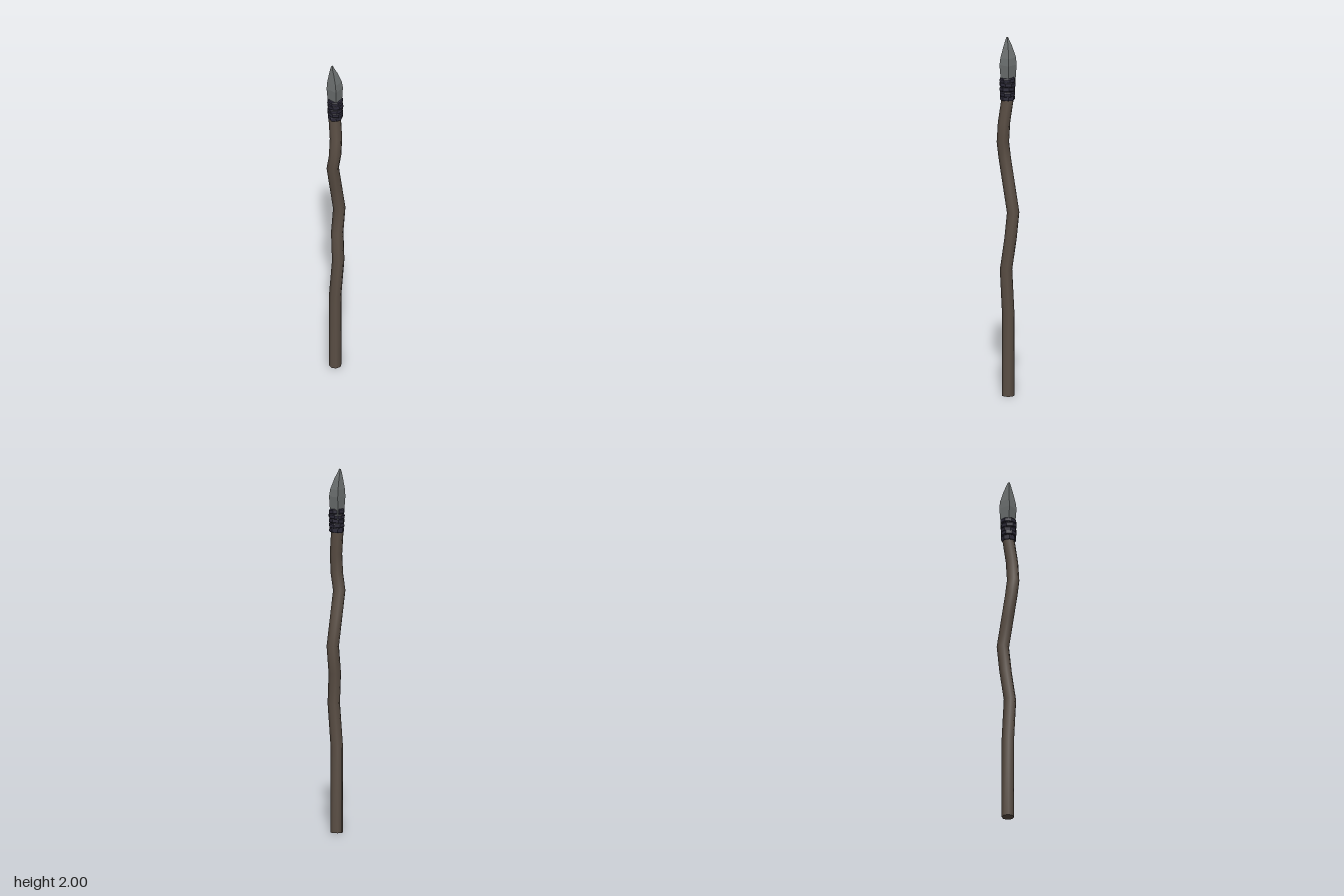
import * as THREE from 'three';

// Skin a stack of cross-sections, each a loop of [x, y, z] points (counter-clockwise seen from above turned to face out)
function loft(rings, flat) {
  const n = rings[0].length, pos = [], idx = [];
  rings.forEach(r => r.forEach(p => pos.push(...p)));
  for (let i = 0; i < rings.length - 1; i++) {
    for (let j = 0; j < n; j++) {
      const a = i * n + j, b = i * n + (j + 1) % n;
      idx.push(a, b, b + n, a, b + n, a + n);
    }
  }
  // end caps with their own vertices so the rims stay sharp
  [rings[0], rings[rings.length - 1]].forEach((r, end) => {
    const base = pos.length / 3;
    r.forEach(p => pos.push(...p));
    for (let j = 1; j < n - 1; j++) {
      if (end) idx.push(base, base + j, base + j + 1);
      else idx.push(base, base + j + 1, base + j);
    }
  });
  let g = new THREE.BufferGeometry();
  g.setAttribute('position', new THREE.Float32BufferAttribute(pos, 3));
  g.setIndex(idx);
  if (flat) g = g.toNonIndexed();
  g.computeVertexNormals();
  return g;
}

// Level polygon running from +z towards +x
function ring(x, y, z, r, sides) {
  return Array.from({ length: sides }, (_, j) => {
    const a = j / sides * Math.PI * 2;
    return [x + Math.sin(a) * r, y, z + Math.cos(a) * r];
  });
}

export function createModel() {
  const group = new THREE.Group();
  const wood = new THREE.MeshStandardMaterial({ name: 'brown wood', color: 0x5b4f45 });
  const stone = new THREE.MeshStandardMaterial({ name: 'grey stone', color: 0x6e7272 });
  const cord = new THREE.MeshStandardMaterial({ name: 'dark cord', color: 0x2b2937 });
  const add = (name, geometry, material) => {
    const m = new THREE.Mesh(geometry, material);
    m.name = name;
    group.add(m);
    return m;
  };

  // Crooked eight-sided shaft: x, y, z of each bend
  const bends = [
    [-0.009, 0, 0.006], [-0.009, 0.47, 0.006], [0.011, 0.71, 0.005],
    [-0.008, 0.88, -0.011], [-0.008, 1.03, -0.029], [-0.008, 1.19, 0.002],
    [-0.008, 1.33, 0.029], [0.008, 1.42, 0.029], [0.008, 1.53, 0.021],
    [-0.008, 1.65, 0.011], [-0.008, 1.76, 0.008],
  ];
  add('shaft', loft(bends.map(([x, y, z]) => ring(x, y, z, 0.034, 8)), false), wood);

  // Chipped four-sided spearhead: left, right, back, front limits at each height
  const cuts = [
    [1.70, -0.034, 0.018, -0.02, 0.03],
    [1.79, -0.039, 0.021, -0.024, 0.036],
    [1.85, -0.041, 0.023, -0.028, 0.041],
    [1.89, -0.04, 0.018, -0.024, 0.038],
    [1.95, -0.032, 0.001, -0.005, 0.031],
    [1.985, -0.026, -0.012, 0.011, 0.027],
    [2.0, -0.022, -0.015, 0.016, 0.024],
  ];
  add('spearhead', loft(cuts.map(([y, l, r, b, f]) => [
    [l, y, f], [r, y, f], [r, y, b + (r - l) * 0.1], [l, y, b],
  ]), true), stone).material.flatShading = true;

  // Cord bands lashing the head on: height, radius, tilt about x, tilt about z, twist
  const bands = [
    [1.667, 0.041, 0.03, 0.05, 0.0],
    [1.692, 0.044, -0.05, -0.06, 0.3],
    [1.717, 0.043, 0.06, 0.05, 0.1],
    [1.742, 0.045, -0.05, 0.08, 0.4],
    [1.767, 0.044, 0.04, -0.08, 0.2],
  ];
  const wrap = new THREE.Group();
  wrap.name = 'cordWrap';
  bands.forEach(([y, r, tiltX, tiltZ, twist]) => {
    const h = 0.014;
    const rows = [[-h, 0.9], [-h * 0.6, 1], [h * 0.6, 1], [h, 0.9]];
    const band = new THREE.Mesh(
      loft(rows.map(([dy, s]) => ring(0, dy, 0, r * s, 8)), true), cord);
    band.name = 'cordBand';
    band.position.set(-0.006, y, 0.009);
    band.rotation.set(tiltX, twist, tiltZ);
    wrap.add(band);
  });
  group.add(wrap);

  return group;
}
